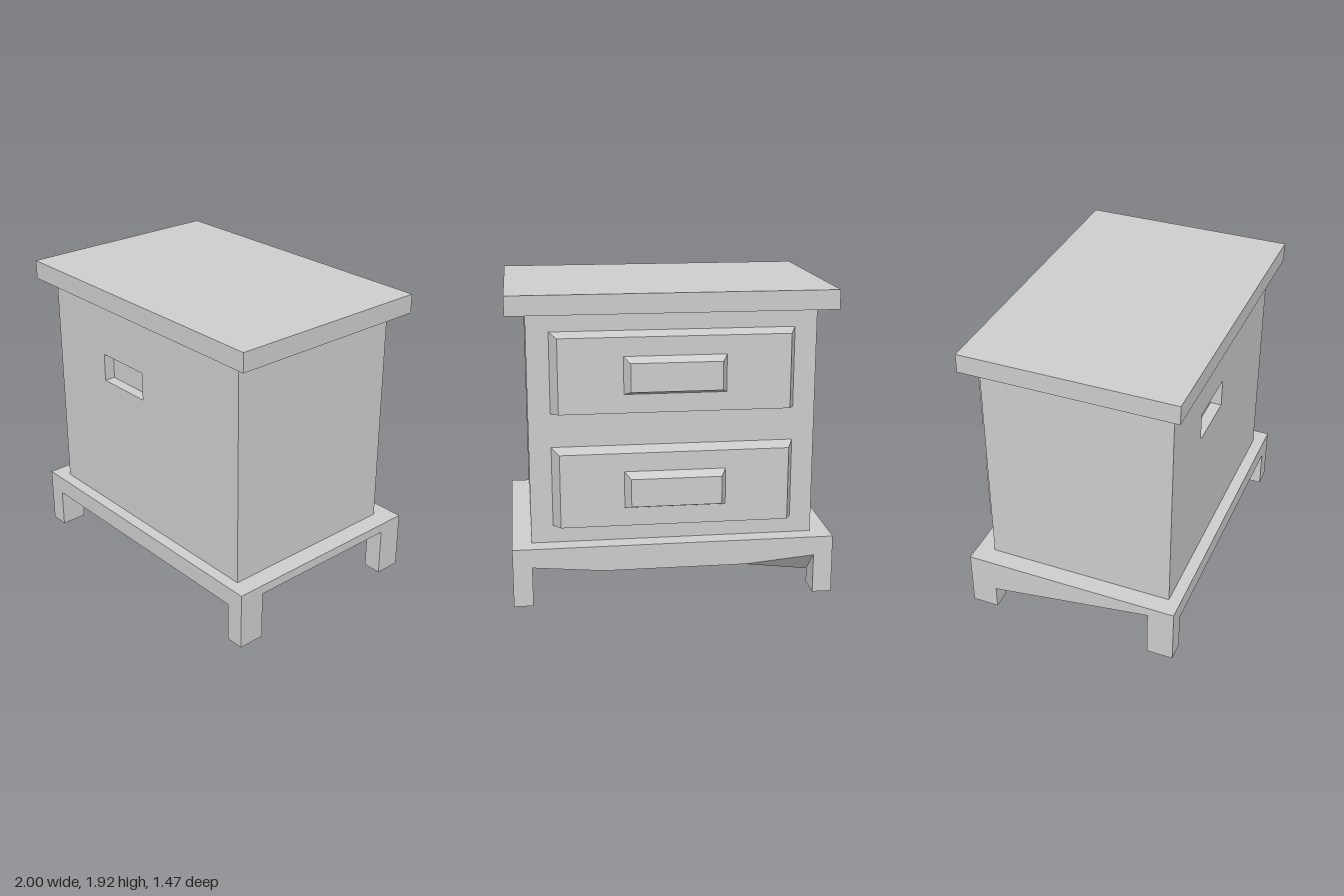
import * as THREE from 'three';

const grey = new THREE.MeshStandardMaterial({ color: 0xcccccc });
grey.name = 'plainGrey';

function mesh(name, geometry) {
  const m = new THREE.Mesh(geometry, grey);
  m.name = name;
  return m;
}

// Box given by its minimum and maximum on each axis
function box(name, x0, x1, y0, y1, z0, z1) {
  const g = new THREE.BoxGeometry(x1 - x0, y1 - y0, z1 - z0);
  g.translate((x0 + x1) / 2, (y0 + y1) / 2, (z0 + z1) / 2);
  return mesh(name, g);
}

// Flat-faced solid through four-cornered rings, capped at both ends
function loft(name, rings) {
  const pos = [];
  const tri = (...pts) => pts.forEach((p) => pos.push(...p));
  for (let s = 0; s + 1 < rings.length; s++) {
    const a = rings[s], b = rings[s + 1];
    for (let i = 0; i < 4; i++) {
      const j = (i + 1) % 4;
      tri(a[i], a[j], b[j]);
      tri(a[i], b[j], b[i]);
    }
  }
  const f = rings[0], l = rings[rings.length - 1];
  tri(f[0], f[2], f[1]);
  tri(f[0], f[3], f[2]);
  tri(l[0], l[1], l[2]);
  tri(l[0], l[2], l[3]);
  const g = new THREE.BufferGeometry();
  g.setAttribute('position', new THREE.Float32BufferAttribute(pos, 3));
  g.computeVertexNormals();
  return mesh(name, g);
}

// Cross-section of the base at x, with separate front and back lower heights
const baseRing = (x, zf, zb, yf, yb) =>
  [[x, 0.37, zf], [x, yf, zf], [x, yb, zb], [x, 0.37, zb]];

// Tapered block standing out towards -z
function taperedBlock(name, y, z0, z1, w0, h0, w1, h1) {
  const ring = (z, w, h) =>
    [[w, y + h, z], [w, y - h, z], [-w, y - h, z], [-w, y + h, z]];
  return loft(name, [ring(z0, w0, h0), ring(z1, w1, h1)]);
}

export function createModel() {
  const group = new THREE.Group();
  group.name = 'bedsideCabinet';

  // Top slab and main body
  group.add(box('topSlab', -1, 1, 1.8, 1.92, -0.62, 0.73));
  group.add(box('body', -0.88, 0.88, 0.37, 1.8, -0.545, 0.585));

  // Front panel with a rectangular recess
  const panel = new THREE.Shape();
  panel.moveTo(-0.88, 0.37).lineTo(0.88, 0.37).lineTo(0.88, 1.8).lineTo(-0.88, 1.8).closePath();
  const hole = new THREE.Path();
  hole.moveTo(-0.39, 1.26).lineTo(-0.39, 1.44).lineTo(0, 1.44).lineTo(0, 1.26).closePath();
  panel.holes.push(hole);
  const panelGeo = new THREE.ExtrudeGeometry(panel, { depth: 0.07, bevelEnabled: false });
  panelGeo.translate(0, 0, 0.585);
  group.add(mesh('recessedPanel', panelGeo));

  // Two drawers with tapered edges and handles
  for (const y of [0.73, 1.44]) {
    const drawer = new THREE.Group();
    drawer.name = y > 1 ? 'upperDrawer' : 'lowerDrawer';
    drawer.add(taperedBlock('drawerFront', y, -0.545, -0.66, 0.745, 0.25, 0.7, 0.23));
    drawer.add(taperedBlock('drawerHandle', y, -0.66, -0.735, 0.31, 0.115, 0.275, 0.087));
    group.add(drawer);
  }

  // Four square legs
  for (const [side, x0] of [['Right', -1], ['Left', 0.88]]) {
    group.add(box('front' + side + 'Leg', x0, x0 + 0.12, 0, 0.37, 0.56, 0.73));
    group.add(box('back' + side + 'Leg', x0, x0 + 0.12, 0, 0.37, -0.66, -0.49));
  }

  // Front rail between the legs
  group.add(box('frontRail', -0.88, 0.88, 0.25, 0.37, 0.56, 0.73));

  // Base plate, sagging towards one back corner
  group.add(loft('basePlate', [[-1, 0.15], [-0.88, 0.15], [-0.44, 0.31], [1, 0.31]]
    .map(([x, yb]) => baseRing(x, 0.56, -0.49, 0.31, yb))));

  // Back rail with a shallow dip and the same sag on its inner edge
  group.add(loft('backRail', [[-0.88, 0.09, 0.25], [-0.44, 0.21, 0.21], [0.44, 0.21, 0.21], [0.88, 0.25, 0.25]]
    .map(([x, inner, outer]) => baseRing(x, -0.49, -0.66, inner, outer))));

  return group;
}
